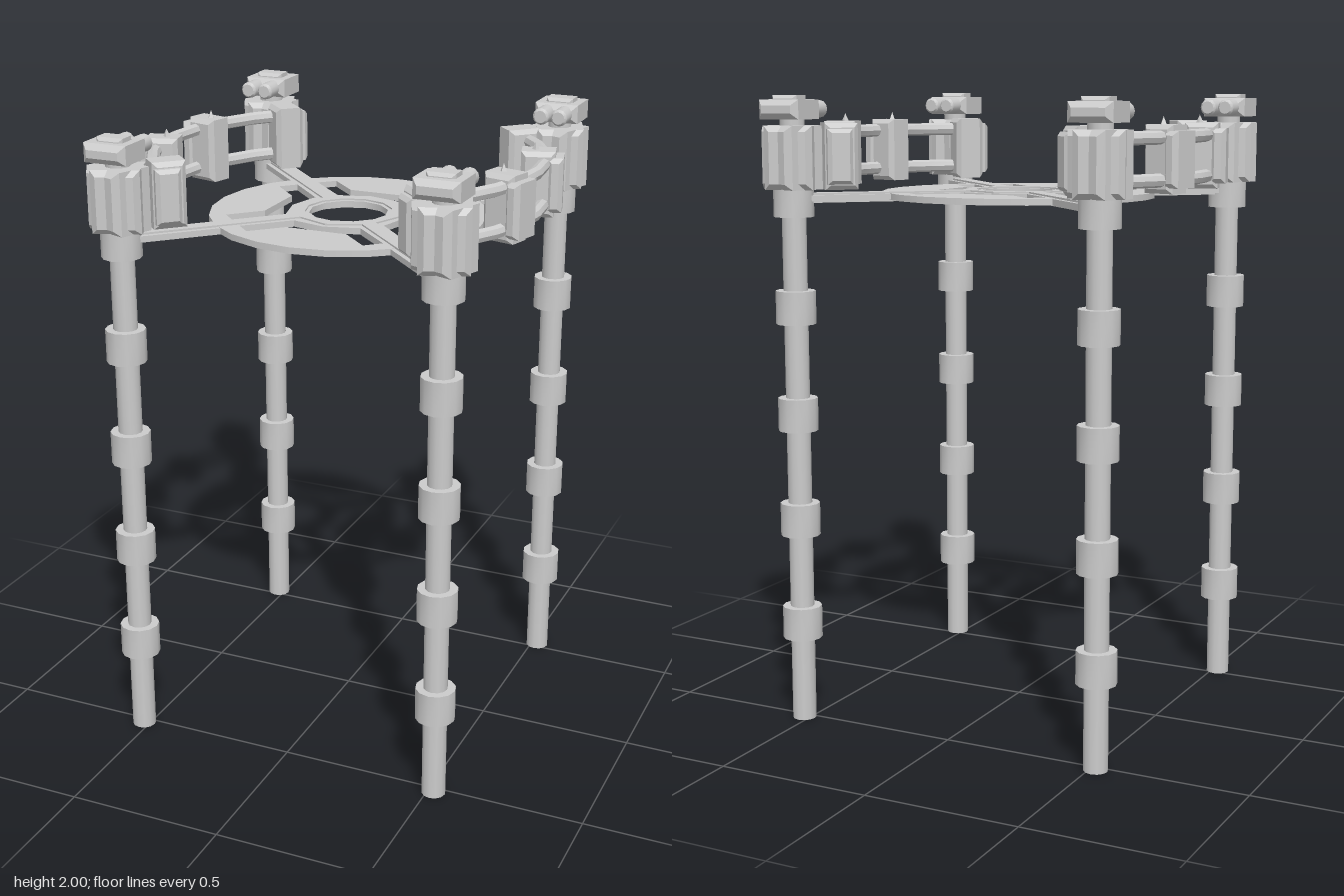
import * as THREE from 'three';
import { toCreasedNormals } from 'three/addons/utils/BufferGeometryUtils.js';

const grey = new THREE.MeshStandardMaterial({ color: 0xcccccc });
const thin = new THREE.MeshStandardMaterial({ color: 0xcccccc, side: THREE.DoubleSide });

function add(parent, name, geometry, x = 0, y = 0, z = 0, material = grey) {
  const mesh = new THREE.Mesh(toCreasedNormals(geometry, 0.6), material);
  mesh.name = name;
  mesh.position.set(x, y, z);
  parent.add(mesh);
  return mesh;
}

// Box with chamfered edges, centred on the origin
function chamferBox(w, h, d, c) {
  const a = w / 2 - c, b = h / 2 - c;
  const shape = new THREE.Shape([[-a, -b], [a, -b], [a, b], [-a, b]].map(p => new THREE.Vector2(...p)));
  return new THREE.ExtrudeGeometry(shape, {
    depth: d - 2 * c, bevelEnabled: true, bevelSize: c, bevelThickness: c, bevelSegments: 1,
  }).translate(0, 0, c - d / 2);
}

const polygon = (r, n) => Array.from({ length: n }, (_, i) => {
  const t = (i / n) * Math.PI * 2;
  return new THREE.Vector2(r * Math.cos(t), r * Math.sin(t));
});

// Flat horizontal plate with holes, centred on y = 0
function plate(outline, holes, height) {
  const shape = new THREE.Shape(outline);
  shape.holes = holes.map(h => new THREE.Path(h));
  return new THREE.ExtrudeGeometry(shape, { depth: height, bevelEnabled: false })
    .translate(0, 0, -height / 2).rotateX(-Math.PI / 2);
}

// Central wheel with four openings, a hub ring and diagonal arms
function makePlatform() {
  const g = new THREE.Group();
  g.name = 'platform';
  g.position.y = 1.685;
  const opening = [[-0.192, 0.335], [-0.1, 0.245], [0.1, 0.245], [0.192, 0.335], [0.238, 0.29],
    [0.112, 0.167], [0, 0.195], [-0.112, 0.167], [-0.238, 0.29]];
  const holes = [polygon(0.125, 12)];
  for (let i = 0; i < 4; i++) {
    holes.push(opening.map(([x, y]) =>
      new THREE.Vector2(x, y).rotateAround(new THREE.Vector2(), i * Math.PI / 2)));
  }
  add(g, 'wheel', plate(polygon(0.44, 24), holes, 0.02));
  add(g, 'hubRing', plate(polygon(0.18, 8), [polygon(0.138, 12)], 0.03));
  for (let i = 0; i < 4; i++) {
    const arm = new THREE.Group();
    arm.name = 'arm';
    arm.rotation.y = Math.PI / 4 + i * Math.PI / 2;
    add(arm, 'armBeam', new THREE.BoxGeometry(0.3, 0.018, 0.076), 0.56);
    add(arm, 'armRib', new THREE.BoxGeometry(0.54, 0.03, 0.046), 0.44);
    g.add(arm);
  }
  return g;
}

// Tubular leg with collars, a faceted head and a twin-barrel unit on top
function makeLeg() {
  const g = new THREE.Group();
  g.name = 'leg';
  add(g, 'shaft', new THREE.CylinderGeometry(0.038, 0.038, 1.94, 12, 1, true), 0, 0.97, 0, thin);
  for (const y of [0.325, 0.665, 1.005, 1.345, 1.68]) {
    add(g, 'collar', new THREE.CylinderGeometry(0.063, 0.063, 0.105, 12), 0, y);
  }
  for (const s of [-1, 1]) {
    add(g, 'headBlock', chamferBox(0.15, 0.195, 0.15, 0.018), 0, 1.81).rotation.y = s * 0.35;
  }
  // Top unit, barrels facing the middle
  const top = new THREE.Group();
  top.name = 'topUnit';
  add(top, 'housing', chamferBox(0.142, 0.06, 0.15, 0.018), 0, 1.957, 0.014);
  add(top, 'cap', chamferBox(0.088, 0.04, 0.07, 0.01), 0, 1.98, 0.014);
  for (const s of [-1, 1]) {
    const barrel = [[0, 0], [0.02, 0], [0.027, 0.008], [0.027, 0.1], [0, 0.1]].map(p => new THREE.Vector2(...p));
    add(top, 'barrel', new THREE.LatheGeometry(barrel, 12).rotateX(Math.PI / 2), s * 0.03, 1.957, -0.12);
  }
  g.add(top);
  return g;
}

// Clamp on the rails; local +x points outward
function makeClamp(angle, isEnd) {
  const g = new THREE.Group();
  g.name = 'railClamp';
  g.rotation.y = angle;
  g.position.set(0.61 * Math.cos(angle), 1.812, -0.61 * Math.sin(angle));
  add(g, 'clampBody', chamferBox(0.105, 0.205, 0.095, 0.014), -0.02);
  if (isEnd) {
    add(g, 'endPlate', chamferBox(0.08, 0.17, 0.04, 0.012), -0.01, 0, -Math.sign(angle) * 0.052);
  } else {
    add(g, 'outerPlate', chamferBox(0.05, 0.17, 0.11, 0.014), 0.033);
    add(g, 'stud', new THREE.ConeGeometry(0.014, 0.03, 4), -0.03, 0.112);
  }
  return g;
}

// Curved pair of rails with four clamps
function makeRailing() {
  const g = new THREE.Group();
  g.name = 'railing';
  for (const y of [1.75, 1.877]) {
    const arc = new THREE.TorusGeometry(0.61, 0.021, 8, 8, Math.PI / 2)
      .rotateZ(-Math.PI / 4).rotateX(-Math.PI / 2);
    add(g, 'rail', arc, 0, y, 0, thin);
  }
  for (const k of [-3, -1, 1, 3]) g.add(makeClamp(k * Math.PI / 12, Math.abs(k) === 3));
  return g;
}

export function createModel() {
  const model = new THREE.Group();
  model.name = 'legPlatform';
  model.add(makePlatform());
  for (const x of [-0.52, 0.52]) {
    for (const z of [-0.522, 0.522]) {
      const leg = makeLeg();
      leg.position.set(x, 0, z);
      leg.rotation.y = z > 0 ? 0 : Math.PI;
      model.add(leg);
    }
    const railing = makeRailing();
    railing.rotation.y = x > 0 ? 0 : Math.PI;
    model.add(railing);
  }
  return model;
}
